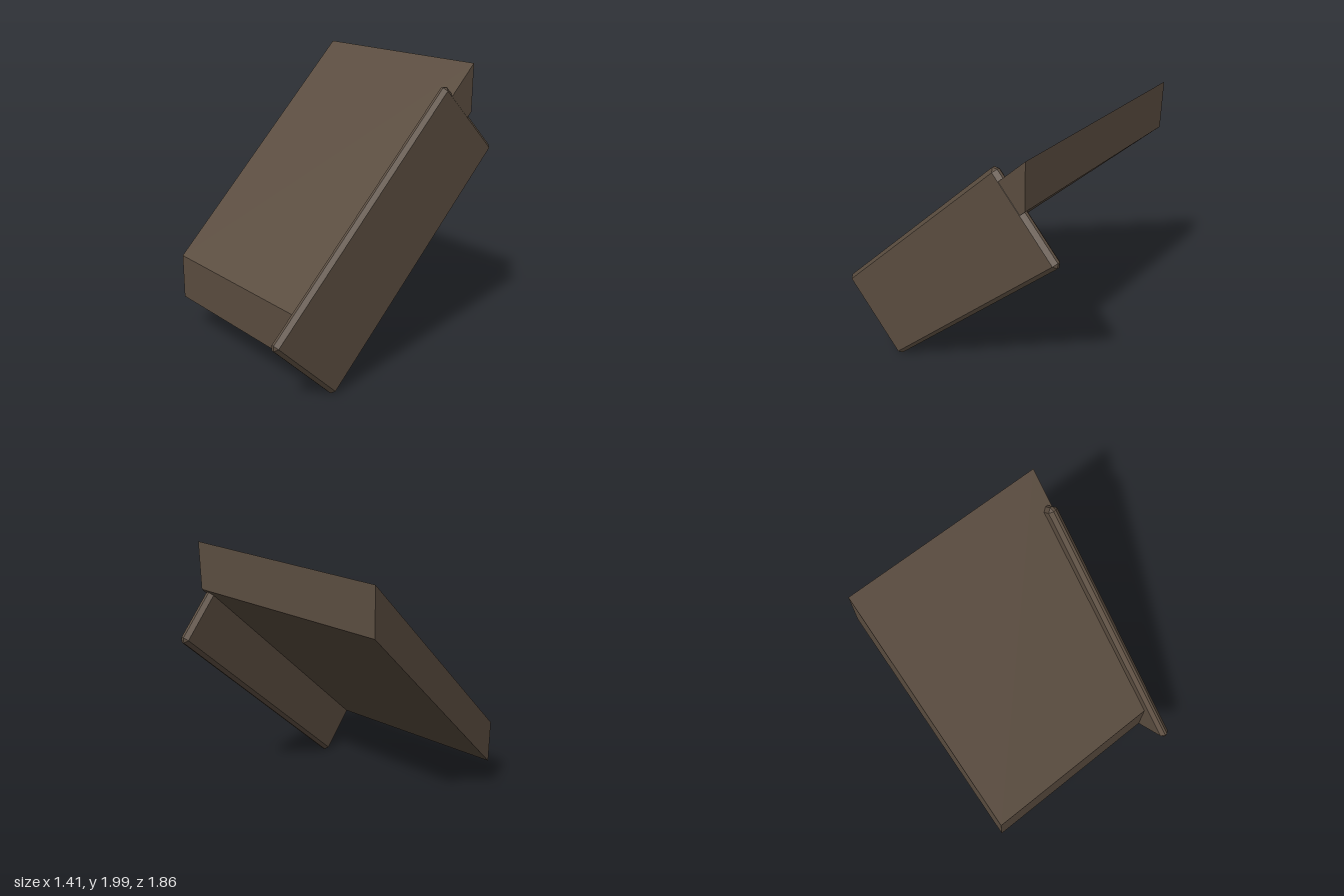
import * as THREE from 'three';
import { ConvexGeometry } from 'three/addons/geometries/ConvexGeometry.js';

// Box with every edge and corner cut off by a flat chamfer
function chamferedBox(w, h, d, c) {
  const points = [];
  for (const x of [-w / 2, w / 2])
    for (const y of [-h / 2, h / 2])
      for (const z of [-d / 2, d / 2]) {
        const sx = Math.sign(x) * c, sy = Math.sign(y) * c, sz = Math.sign(z) * c;
        points.push(
          new THREE.Vector3(x, y - sy, z - sz),
          new THREE.Vector3(x - sx, y, z - sz),
          new THREE.Vector3(x - sx, y - sy, z),
        );
      }
  return new ConvexGeometry(points);
}

export function createModel() {
  const group = new THREE.Group();
  const wood = new THREE.MeshStandardMaterial({ color: 0x5b4d40 });
  wood.name = 'dark wood';

  // Sloping slab: a box sheared so that its ends stay vertical
  const slabGeometry = new THREE.BoxGeometry(1.413, 0.32, 1.414);
  const p = slabGeometry.attributes.position;
  for (let i = 0; i < p.count; i++) p.setY(i, p.getY(i) - p.getZ(i));
  slabGeometry.computeVertexNormals();
  const slab = new THREE.Mesh(slabGeometry, wood);
  slab.name = 'slopingSlab';
  slab.position.set(-0.0005, 1.133, 0);
  group.add(slab);

  // Chamfered board along the left edge, tilted with the slope
  const board = new THREE.Mesh(chamferedBox(0.07, 0.682, 2.0, 0.026), wood);
  board.name = 'edgeBoard';
  board.position.set(0.673, 0.935, 0);
  board.rotation.x = Math.PI / 4;
  group.add(board);

  return group;
}
